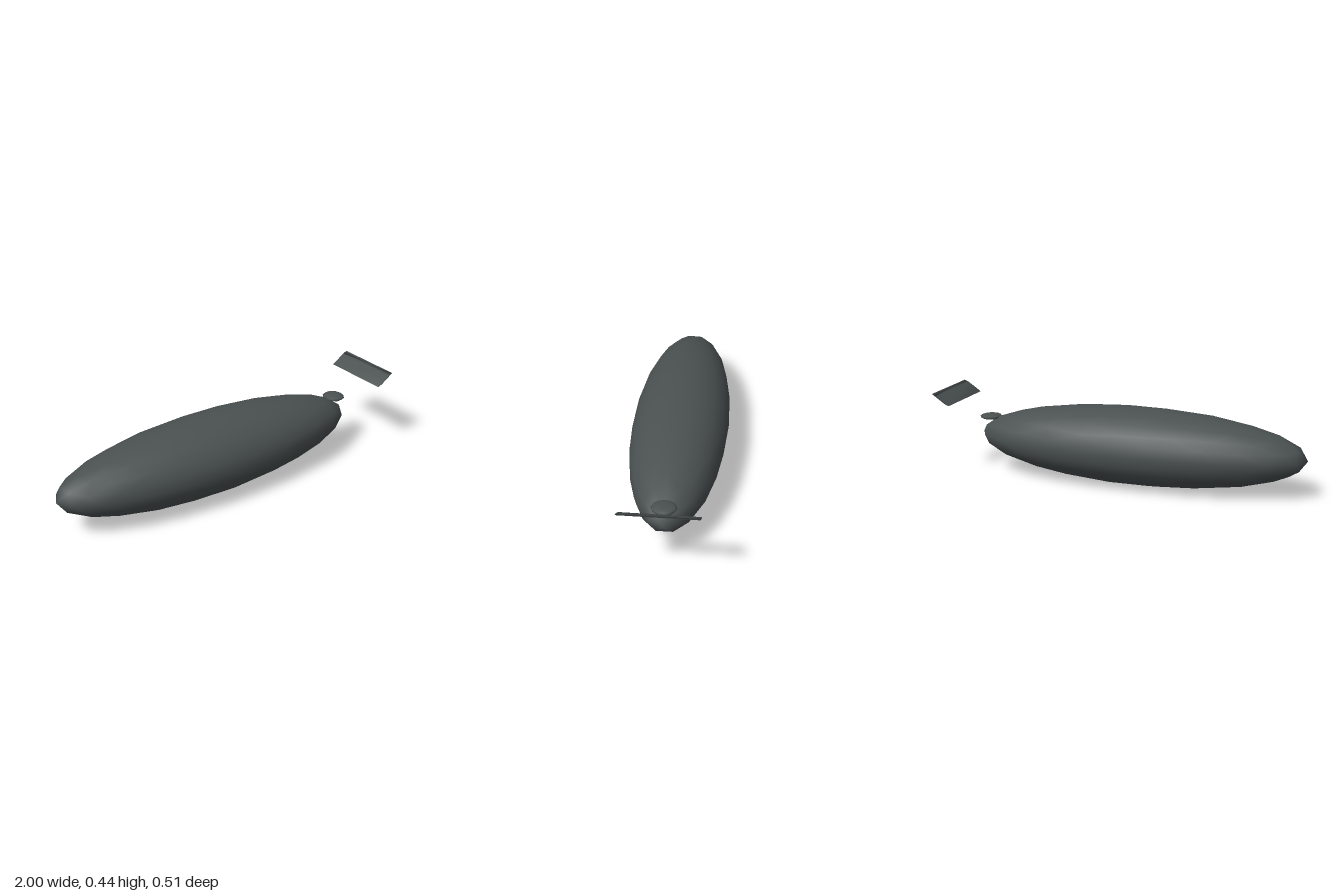
import * as THREE from 'three';
import { mergeVertices } from 'three/addons/utils/BufferGeometryUtils.js';

const darkGrey = new THREE.MeshStandardMaterial({ color: 0x4b5151 });
darkGrey.name = 'darkGrey';

// Icosahedron standing on a vertex, each subdivision halving every edge
function icosphere(subdivisions) {
  const points = [0, 1, 0, 0, -1, 0];
  const faces = [];
  const h = 1 / Math.sqrt(5);
  for (let i = 0; i < 5; i++) {
    const a = (i * 2 * Math.PI) / 5;
    const b = a + Math.PI / 5;
    points.push(2 * h * Math.cos(a), h, 2 * h * Math.sin(a));
    points.push(2 * h * Math.cos(b), -h, 2 * h * Math.sin(b));
    const u = 2 + 2 * i, l = u + 1;
    const u2 = 2 + 2 * ((i + 1) % 5), l2 = u2 + 1;
    faces.push(0, u2, u, u, u2, l, l, u2, l2, 1, l, l2);
  }
  let geometry = new THREE.PolyhedronGeometry(points, faces, 1, 1);
  for (let s = 1; s < subdivisions; s++) {
    const p = Array.from(geometry.attributes.position.array);
    geometry = new THREE.PolyhedronGeometry(p, p.slice(0, p.length / 3).map((_, i) => i), 1, 1);
  }
  return geometry;
}

function ellipsoid(name, subdivisions, radii, centre) {
  const geometry = icosphere(subdivisions).scale(...radii).translate(...centre);
  const mesh = new THREE.Mesh(geometry, darkGrey);
  mesh.name = name;
  return mesh;
}

export function createModel() {
  const model = new THREE.Group();
  model.name = 'model';

  // Long hull and the small flattened pod on its end
  model.add(ellipsoid('hull', 2, [0.895, 0.204, 0.256], [-0.105, 0.206, 0]));
  model.add(ellipsoid('pod', 1, [0.059, 0.015, 0.063], [0.745, 0.293, 0.001]));

  // Thin slanted tail plate with a sheared section and soft edges
  const section = new THREE.Shape([
    new THREE.Vector2(0.902, 0.378),
    new THREE.Vector2(0.926, 0.388),
    new THREE.Vector2(1.0, 0.438),
    new THREE.Vector2(0.976, 0.428),
  ]);
  let plate = new THREE.ExtrudeGeometry(section, { depth: 0.382, bevelEnabled: false });
  plate.translate(0, 0, -0.19);
  plate.deleteAttribute('normal');
  plate.deleteAttribute('uv');
  plate = mergeVertices(plate, 1e-5);
  plate.computeVertexNormals();
  const tail = new THREE.Mesh(plate, darkGrey);
  tail.name = 'tailPlate';
  model.add(tail);

  return model;
}
